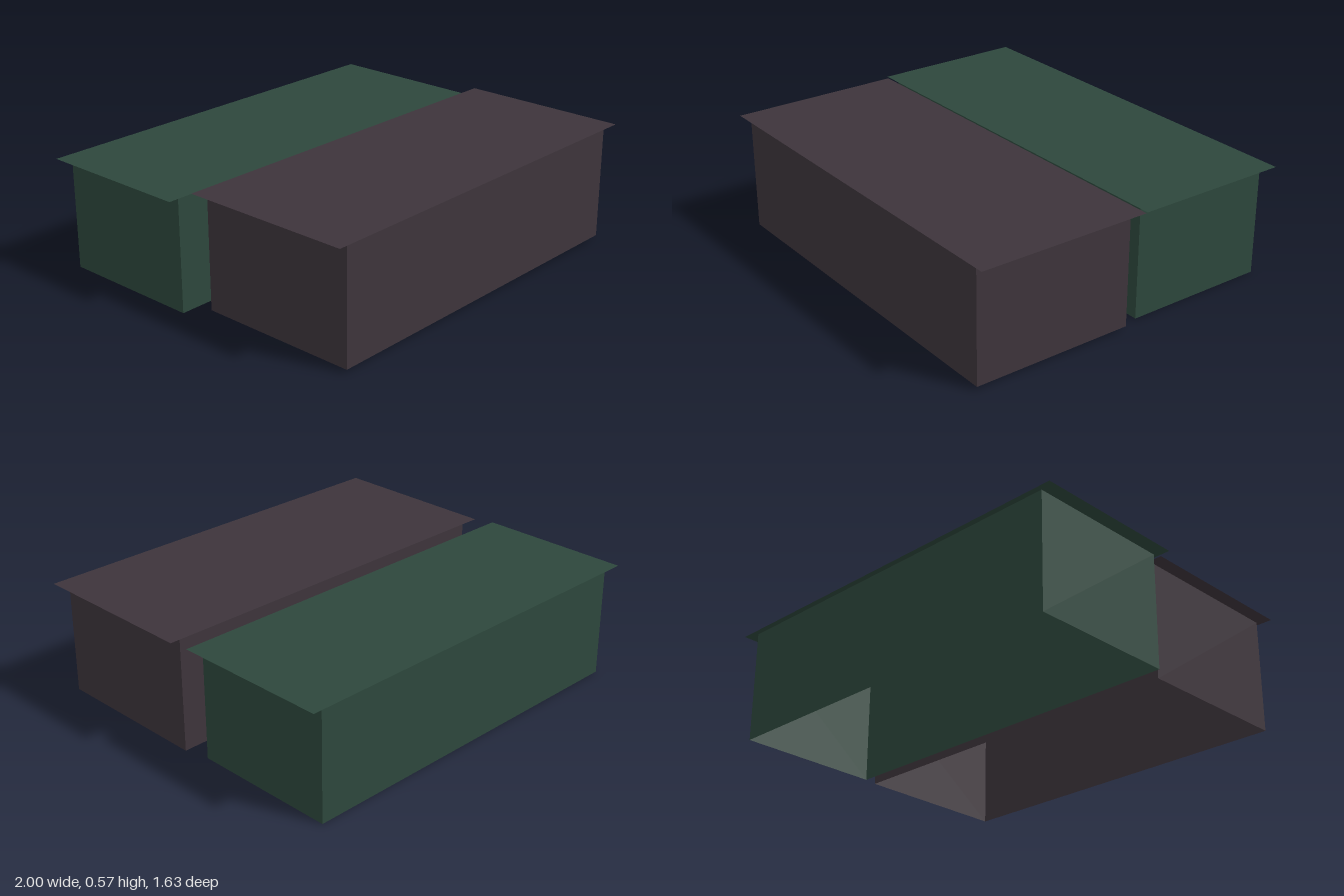
import * as THREE from 'three';
import { mergeGeometries } from 'three/addons/utils/BufferGeometryUtils.js';

function flat(name, color) {
  const m = new THREE.MeshStandardMaterial({ color, side: THREE.DoubleSide });
  m.name = name;
  return m;
}

// Four thin walls around a rectangle, open at top and bottom
function wallsGeometry(x0, x1, y0, y1, z0, z1) {
  const w = x1 - x0, h = y1 - y0, d = z1 - z0;
  const sides = [];
  for (let i = 0; i < 4; i++) {
    const [span, out] = i % 2 ? [d, w / 2] : [w, d / 2];
    sides.push(new THREE.PlaneGeometry(span, h).translate(0, 0, out).rotateY(i * Math.PI / 2));
  }
  return mergeGeometries(sides).translate((x0 + x1) / 2, (y0 + y1) / 2, (z0 + z1) / 2);
}

// Thin flat sheet facing up
function sheetGeometry(x0, x1, y, z0, z1) {
  return new THREE.PlaneGeometry(x1 - x0, z1 - z0)
    .rotateX(-Math.PI / 2)
    .translate((x0 + x1) / 2, y, (z0 + z1) / 2);
}

// Bottomless block under an overhanging flat roof
function block(name, material, walls, roof) {
  const g = new THREE.Group();
  g.name = name;
  const wallMesh = new THREE.Mesh(wallsGeometry(...walls), material);
  wallMesh.name = name + 'Walls';
  const roofMesh = new THREE.Mesh(sheetGeometry(...roof), material);
  roofMesh.name = name + 'Roof';
  g.add(wallMesh, roofMesh);
  return g;
}

export function createModel() {
  const model = new THREE.Group();
  model.name = 'twinBlocks';
  model.add(
    block('frontBlock', flat('dark plum', 0x3d343b),
      [-0.855, 0.934, 0.016, 0.567, 0.011, 0.791], [-0.92, 1, 0.567, -0.014, 0.814]),
    block('backBlock', flat('dark green', 0x2d473c),
      [-0.934, 0.89, 0, 0.541, -0.787, -0.082], [-1, 0.958, 0.541, -0.814, -0.06])
  );
  return model;
}
